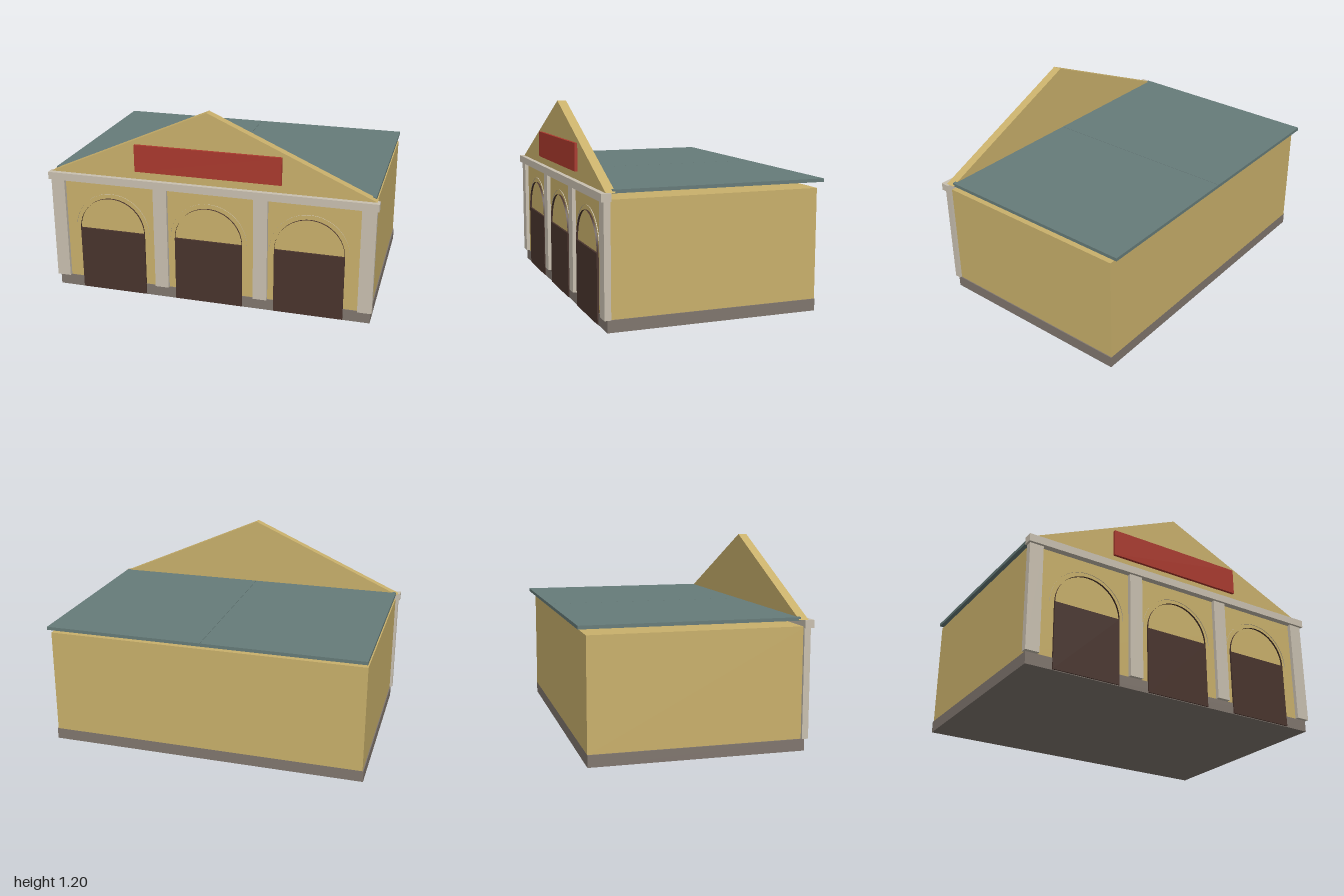
import * as THREE from 'three';

const material = (name, color, side = THREE.FrontSide) => {
  const m = new THREE.MeshStandardMaterial({ color, side });
  m.name = name;
  return m;
};

export function createModel() {
  const wall = material('ochre wall', 0xc9b06b);
  const stone = material('pale stone', 0xc9c0b0, THREE.DoubleSide);
  const plinth = material('grey plinth', 0x80766e);
  const roof = material('slate roof', 0x667b79);
  const red = material('red sign', 0xaa392d);
  const door = material('dark door', 0x49342d, THREE.DoubleSide);

  const model = new THREE.Group();
  model.name = 'hall';

  const add = (name, geometry, mat) => {
    const mesh = new THREE.Mesh(geometry, mat);
    mesh.name = name;
    model.add(mesh);
    return mesh;
  };
  // Box given by its extents on each axis
  const box = (name, mat, [x0, x1], [y0, y1], [z0, z1]) => {
    const g = new THREE.BoxGeometry(x1 - x0, y1 - y0, z1 - z0);
    g.translate((x0 + x1) / 2, (y0 + y1) / 2, (z0 + z1) / 2);
    return add(name, g, mat);
  };

  // Main body on its plinth
  box('plinth', plinth, [-0.978, 0.978], [0, 0.07], [-0.63, 0.634]);
  box('walls', wall, [-0.972, 0.972], [0.07, 0.722], [-0.63, 0.63]);

  // Two flat roof panels, floating just above the walls
  box('roofLeft', roof, [0.001, 0.974], [0.755, 0.775], [-0.674, 0.598]);
  box('roofRight', roof, [-0.974, -0.001], [0.755, 0.775], [-0.674, 0.598]);

  // Front columns and beam
  for (const x of [-0.947, -0.294, 0.321, 0.946]) {
    box('column', stone, [x - 0.042, x + 0.042], [0.072, 0.715], [0.615, 0.653]);
  }
  box('beam', stone, [-1, 1], [0.714, 0.76], [0.614, 0.669]);

  // Triangular gable above the beam
  const triangle = new THREE.Shape([
    new THREE.Vector2(-0.985, 0.76),
    new THREE.Vector2(0.985, 0.76),
    new THREE.Vector2(0, 1.198),
  ]);
  const gable = new THREE.ExtrudeGeometry(triangle, { depth: 0.055, bevelEnabled: false });
  gable.translate(0, 0, 0.584);
  add('gable', gable, wall);
  box('signBoard', red, [-0.443, 0.443], [0.81, 0.975], [0.638, 0.656]);

  // Open half-round band standing out from the wall
  const arch = (name, mat, x, radius, depth) => {
    const g = new THREE.CylinderGeometry(radius, radius, depth, 32, 1, true, Math.PI / 2, Math.PI);
    g.rotateX(Math.PI / 2);
    g.translate(x, 0.404, 0.63 + depth / 2);
    add(name, g, mat);
  };

  // Three doors, each with an arch
  for (const x of [-0.61, 0, 0.61]) {
    box('door', door, [x - 0.208, x + 0.208], [0.004, 0.404], [0.62, 0.642]);
    arch('innerArch', door, x, 0.207, 0.012);
    arch('outerArch', stone, x, 0.236, 0.004);
  }
  return model;
}
